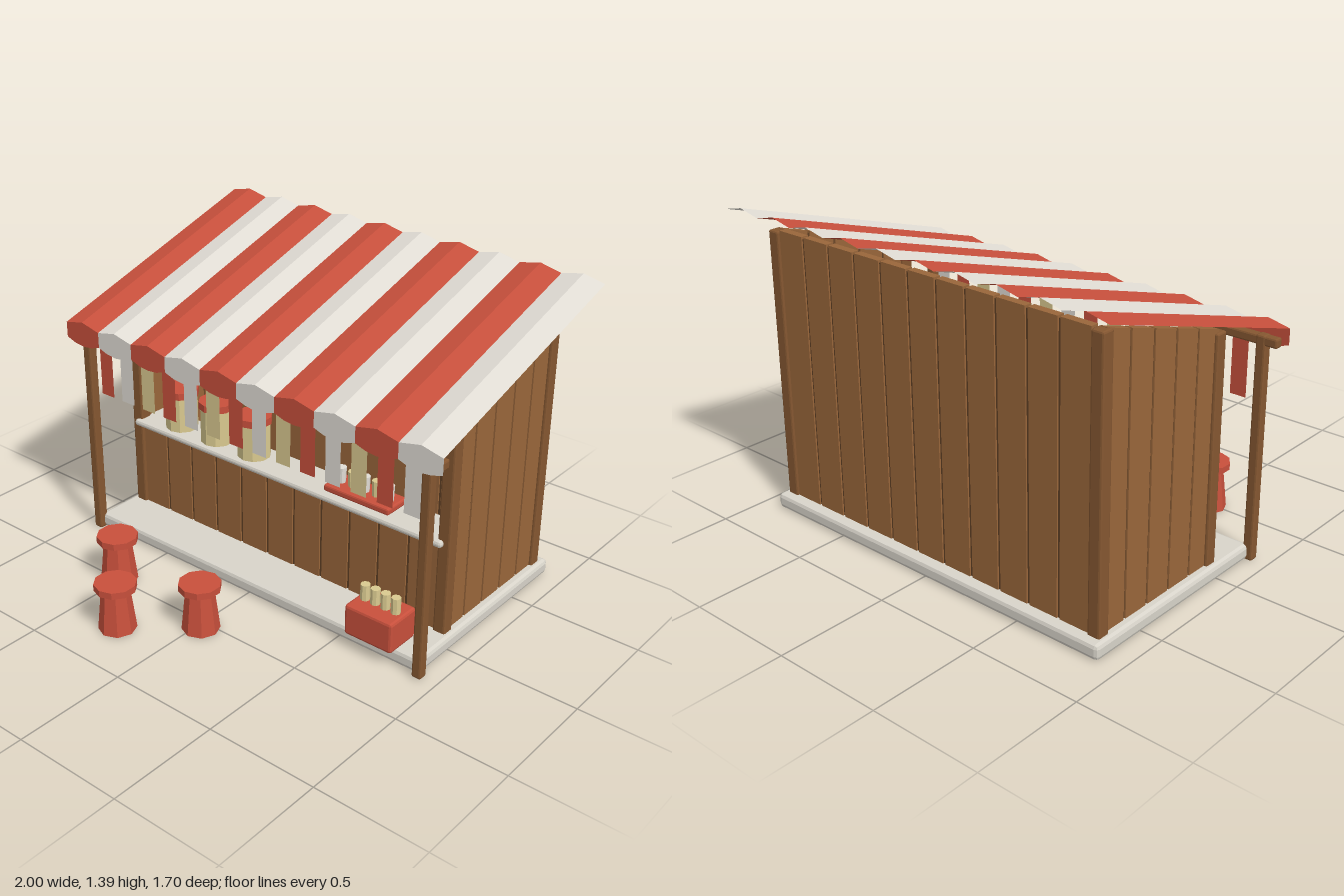
import * as THREE from 'three';
import { RoundedBoxGeometry } from 'three/addons/geometries/RoundedBoxGeometry.js';

const paint = (color, side = THREE.FrontSide) =>
  new THREE.MeshStandardMaterial({ color, side, flatShading: true });
const wood = paint(0x99663a), darkWood = paint(0x5f3f24), postWood = paint(0x855731);
const red = paint(0xc8503c), white = paint(0xe2ded6), yellow = paint(0xdaca90), stone = paint(0xd8d4ca);
const cloth = [0xc8503c, 0xe2ded6, 0xdaca90].map((c) => paint(c, THREE.DoubleSide));

const roofY = (z) => 1.03 + (0.27 - z) * 0.304;

export function createModel() {
  const root = new THREE.Group();
  root.name = 'marketStall';

  const add = (parent, name, geometry, material, x = 0, y = 0, z = 0) => {
    const mesh = new THREE.Mesh(geometry, material);
    mesh.name = name;
    mesh.position.set(x, y, z);
    parent.add(mesh);
    return mesh;
  };
  const group = (name) => {
    const g = new THREE.Group();
    g.name = name;
    root.add(g);
    return g;
  };
  // Box given by its min and max corners, with optional rounded edges
  const box = (parent, name, mat, [x0, x1], [y0, y1], [z0, z1], r = 0) => {
    const s = [x1 - x0, y1 - y0, z1 - z0];
    const geo = r ? new RoundedBoxGeometry(...s, 1, r) : new THREE.BoxGeometry(...s);
    return add(parent, name, geo, mat, (x0 + x1) / 2, (y0 + y1) / 2, (z0 + z1) / 2);
  };
  const drum = (parent, name, mat, rTop, rBottom, h, x, y, z, sides = 10) =>
    add(parent, name, new THREE.CylinderGeometry(rTop, rBottom, h, sides), mat, x, y + h / 2, z);

  // Floor slab
  box(root, 'floor', stone, [-0.91, 0.91], [0.002, 0.07], [-0.775, 0.22], 0.018);

  // Front poles, beam and corner posts
  const frame = group('frame');
  for (const s of [-1, 1]) {
    const post = (name, x, z, w, h) =>
      box(frame, name, postWood, [s * x - w / 2, s * x + w / 2], [0, h], [z - w / 2, z + w / 2], 0.008);
    post('frontPole', 0.912, 0.223, 0.044, 1.0);
    post('frontCornerPost', 0.855, -0.021, 0.058, 1.07);
    post('backCornerPost', 0.855, -0.705, 0.058, 1.28);
  }
  box(frame, 'frontBeam', postWood, [-0.985, 0.985], [0.957, 0.998], [0.203, 0.243], 0.008);

  // Plank walls: planks with narrow gaps over a dark backing
  const walls = group('walls');
  const gap = 0.007;
  const plankRow = (name, n, y1, z0, z1) => {
    const w = 1.66 / n;
    box(walls, name + 'Backing', darkWood, [-0.83, 0.83], [0.06, y1 - 0.01], [z0 + 0.007, z1 - 0.007]);
    for (let i = 0; i < n; i++) {
      const x = -0.83 + i * w;
      box(walls, name + 'Plank', wood, [x + gap, x + w - gap], [0.06, y1], [z0, z1]);
    }
  };
  plankRow('counterFront', 11, 0.48, -0.04, -0.005);
  plankRow('backWall', 11, 1.285, -0.725, -0.69);

  // Side plank with a top that follows the roof slope; u is -z
  const sidePlank = (name, mat, side, u0, u1, thick, drop) => {
    const shape = new THREE.Shape([
      new THREE.Vector2(u0, 0.06), new THREE.Vector2(u1, 0.06),
      new THREE.Vector2(u1, 1.074 + u1 * 0.3 - drop), new THREE.Vector2(u0, 1.074 + u0 * 0.3 - drop),
    ]);
    const geo = new THREE.ExtrudeGeometry(shape, { depth: thick, bevelEnabled: false });
    geo.translate(0, 0, -thick / 2).rotateY(Math.PI / 2);
    add(walls, name, geo, mat, side * 0.853, 0, 0);
  };
  for (const s of [-1, 1]) {
    sidePlank('sideWallBacking', darkWood, s, 0.02, 0.70, 0.02, 0.01);
    for (let i = 0; i < 5; i++) {
      const u = 0.02 + i * 0.136;
      sidePlank('sideWallPlank', wood, s, u + 0.006, u + 0.13, 0.034, 0);
    }
  }

  // Striped corrugated awning with a scalloped valance
  const awning = group('awning');
  const sheet = (name, mat, rows) => {
    const n = rows[0].length, index = [];
    for (let i = 0; i < n - 1; i++) index.push(i, i + n, i + 1, i + 1, i + n, i + n + 1);
    const geo = new THREE.BufferGeometry();
    geo.setAttribute('position', new THREE.Float32BufferAttribute(rows.flat(2), 3));
    geo.setIndex(index);
    geo.computeVertexNormals();
    add(awning, name, geo, mat);
  };
  for (let i = 0; i < 10; i++) {
    const cx = -0.9 + i * 0.2;
    const edge = (z) => [-0.1, 0, 0.1].map((d) => [cx + d, roofY(z) + (d === 0 ? 0.022 : 0), z]);
    sheet('awningStripe', cloth[i % 2], [edge(-0.85), edge(0.27)]);
    const xs = [-0.1, -0.05, 0, 0.05, 0.1];
    sheet('valance', cloth[i % 2], [
      xs.map((d) => [cx + d, 1.052 - Math.abs(d) * 0.22, 0.27]),
      xs.map((d) => [cx + d, 0.938 + d * d * 2.2, 0.27]),
    ]);
  }

  // Hanging banners in three repeating colours
  const banners = group('banners');
  for (let i = 0; i < 14; i++) {
    add(banners, 'banner', new THREE.PlaneGeometry(0.075, 0.25), cloth[i % 3], -0.81 + i * 0.127, 0.835, 0.222);
  }

  // Counter top
  box(root, 'counterTop', stone, [-0.855, 0.855], [0.475, 0.505], [-0.16, 0.03], 0.012);

  // Lidded tubs on the counter
  const tubs = group('tubs');
  for (const x of [-0.638, -0.42, -0.2]) {
    drum(tubs, 'tub', yellow, 0.075, 0.075, 0.17, x, 0.5, -0.065);
    drum(tubs, 'tubLid', red, 0.082, 0.082, 0.033, x, 0.67, -0.065);
  }

  // Tray of cups
  const tray = group('cupTray');
  box(tray, 'tray', red, [0.245, 0.58], [0.512, 0.543], [-0.13, 0.005], 0.008);
  for (let i = 0; i < 5; i++) {
    drum(tray, 'cup', i % 2 ? yellow : white, 0.023, 0.02, 0.072, 0.288 + i * 0.062, 0.542, -0.062, 8);
  }

  // Back shelves and their goods
  const shelves = group('shelves');
  for (const y of [0.6, 0.845]) {
    box(shelves, 'shelf', postWood, [-0.8, 0.8], [y, y + 0.022], [-0.69, -0.55], 0.005);
    for (let i = 0; i < 14; i++) {
      const h = 0.085 + ((i * 5) % 4) * 0.018;
      drum(shelves, 'shelfJar', [red, white, yellow][i % 3], 0.026, 0.026, h, -0.72 + i * 0.111, y + 0.022, -0.62, 8);
    }
    for (const x of [-0.6, 0, 0.6]) {
      box(shelves, 'shelfBracket', postWood, [x - 0.012, x + 0.012], [y - 0.05, y], [-0.69, -0.6]);
    }
  }

  // Bottle crate by the front pole
  const crate = group('bottleCrate');
  box(crate, 'crate', red, [0.565, 0.80], [0.072, 0.213], [0.093, 0.265], 0.012);
  for (let i = 0; i < 4; i++) {
    drum(crate, 'bottle', yellow, 0.021, 0.021, 0.08, 0.605 + i * 0.051, 0.205, 0.178, 8);
  }

  // Stools
  for (const [x, z] of [[-0.517, 0.487], [-0.25, 0.757], [0.02, 0.535]]) {
    const stool = group('stool');
    stool.position.set(x, 0, z);
    drum(stool, 'stoolBase', red, 0.06, 0.082, 0.197, 0, 0, 0, 8);
    drum(stool, 'stoolSeat', red, 0.091, 0.091, 0.03, 0, 0.195, 0);
  }

  return root;
}
